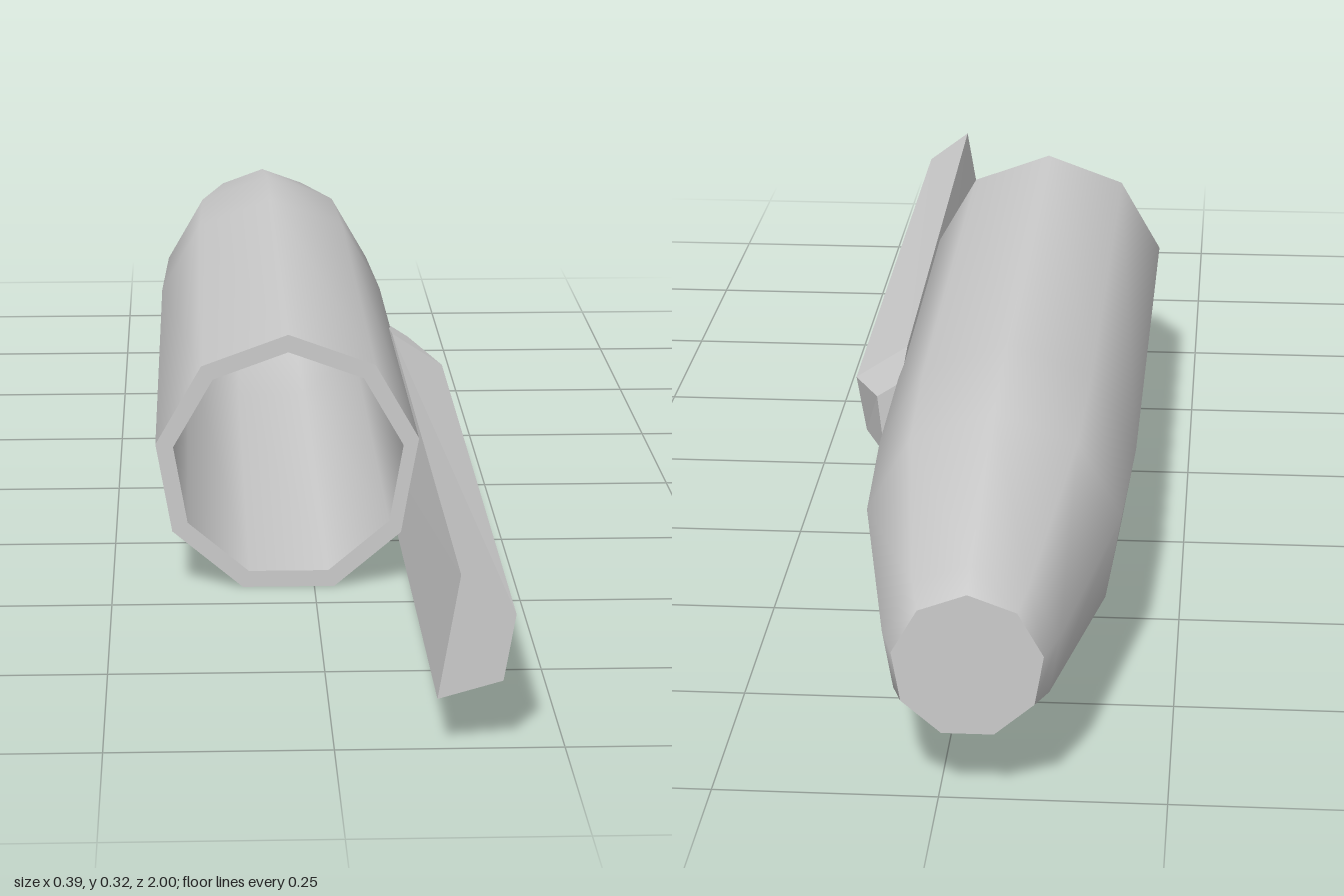
import * as THREE from 'three';

const grey = () => new THREE.MeshStandardMaterial({ color: 0xcccccc });

// Nine-sided surface of revolution along z, from [radius, z] points
function revolve(name, profile) {
  const points = profile.map(([r, z]) => new THREE.Vector2(r, z));
  const geometry = new THREE.LatheGeometry(points, 9, Math.PI).rotateX(Math.PI / 2);
  const mesh = new THREE.Mesh(geometry, grey());
  mesh.name = name;
  mesh.position.set(-0.032, 0.159, 0);
  return mesh;
}

// Flat-sided solid through four-cornered cross-sections, listed front to back
function loft(name, sections) {
  const positions = [];
  const quad = (a, b, c, d) => [a, b, c, a, c, d].forEach((p) => positions.push(...p));
  for (let i = 0; i < sections.length - 1; i++) {
    const s = sections[i], t = sections[i + 1];
    for (let k = 0; k < 4; k++) {
      const n = (k + 1) % 4;
      quad(s[k], t[k], t[n], s[n]);
    }
  }
  quad(...sections[0].slice());
  quad(...sections[sections.length - 1].slice().reverse());
  const geometry = new THREE.BufferGeometry();
  geometry.setAttribute('position', new THREE.Float32BufferAttribute(positions, 3));
  geometry.computeVertexNormals();
  const material = grey();
  material.flatShading = true;
  const mesh = new THREE.Mesh(geometry, material);
  mesh.name = name;
  return mesh;
}

export function createModel() {
  const model = new THREE.Group();
  model.name = 'taperedTube';

  // Hollow barrel, tapering to a closed back end
  const outer = [[0.084, -1], [0.099, -0.95], [0.153, -0.62], [0.162, -0.4], [0.166, 0.435]];
  const inner = [[0.144, 0.435], [0.141, -0.4], [0.132, -0.62], [0.079, -0.94], [0.067, -0.98]];
  model.add(
    revolve('barrelOuterWall', outer),
    revolve('barrelInnerWall', inner),
    revolve('barrelRim', [outer[4], inner[0]]),
    revolve('barrelBackCap', [[0, -1], outer[0]]),
    revolve('barrelFloor', [inner[4], [0, -0.98]])
  );

  // Clip along the left side, counterclockwise corners seen from the front
  model.add(loft('clip', [
    [[0.135, 0.2, 1], [0.111, 0.06, 1], [0.182, 0.08, 1], [0.195, 0.155, 1]],
    [[0.126, 0.2, -0.07], [0.1, 0.06, -0.07], [0.182, 0.08, -0.07], [0.195, 0.155, -0.07]],
    [[0.124, 0.188, -0.18], [0.104, 0.077, -0.18], [0.146, 0.088, -0.18], [0.155, 0.168, -0.18]]
  ]));
  return model;
}
